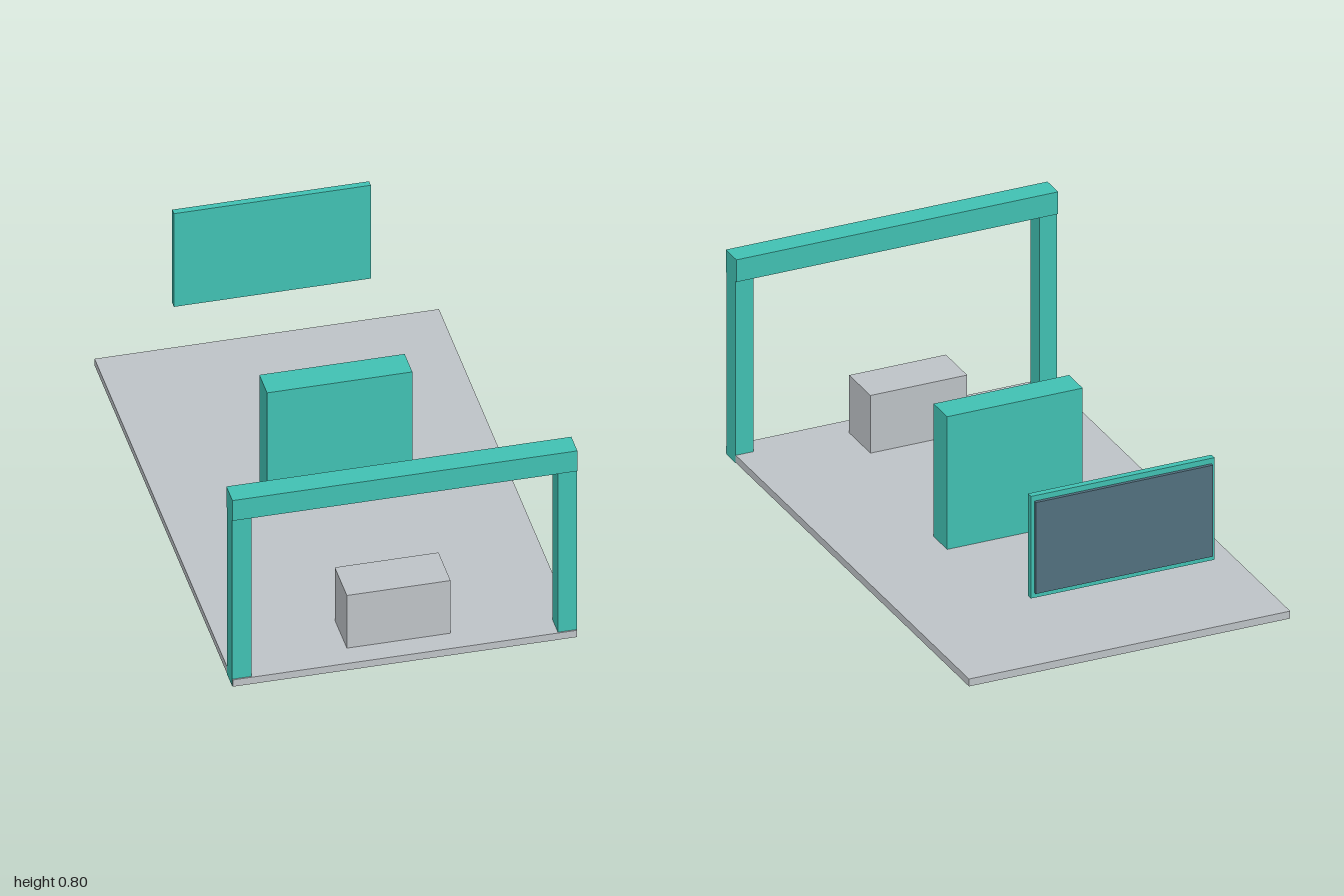
import * as THREE from 'three';

const material = (name, color) => {
  const m = new THREE.MeshStandardMaterial({ color });
  m.name = name;
  return m;
};

export function createModel() {
  const teal = material('teal', 0x41c1b3);
  const grey = material('lightGrey', 0xbec3c7);
  const slate = material('slateBlue', 0x52707f);
  const model = new THREE.Group();
  model.name = 'courtyard';

  // Box given by its minimum and maximum on each axis
  const box = (name, mat, [x0, x1], [y0, y1], [z0, z1], parent = model) => {
    const mesh = new THREE.Mesh(new THREE.BoxGeometry(x1 - x0, y1 - y0, z1 - z0), mat);
    mesh.position.set((x0 + x1) / 2, (y0 + y1) / 2, (z0 + z1) / 2);
    mesh.name = name;
    parent.add(mesh);
  };

  // Floor slab, a hair inside the posts so their feet show below and at the sides
  box('floor', grey, [-0.621, 0.621], [0.001, 0.03], [-1, 1]);

  // Gate: two posts and a slightly deeper beam
  const gate = new THREE.Group();
  gate.name = 'gate';
  model.add(gate);
  for (const side of [-1, 1]) {
    const x = side * 0.5875;
    box(side > 0 ? 'leftPost' : 'rightPost', teal,
      [x - 0.0345, x + 0.0345], [0, 0.713], [0.92, 0.995], gate);
  }
  box('beam', teal, [-0.622, 0.622], [0.713, 0.8], [0.912, 1], gate);

  // Low block behind the gate and the tall block in the middle
  box('counter', grey, [-0.187, 0.187], [0.03, 0.256], [0.735, 0.91]);
  box('centreWall', teal, [-0.262, 0.262], [0, 0.55], [-0.056, 0.056]);

  // Floating board with a dark panel facing backwards
  const board = new THREE.Group();
  board.name = 'board';
  model.add(board);
  box('boardFrame', teal, [-0.355, 0.355], [0.263, 0.663], [-0.944, -0.919], board);
  box('boardPanel', slate, [-0.342, 0.342], [0.284, 0.642], [-0.957, -0.944], board);

  return model;
}
